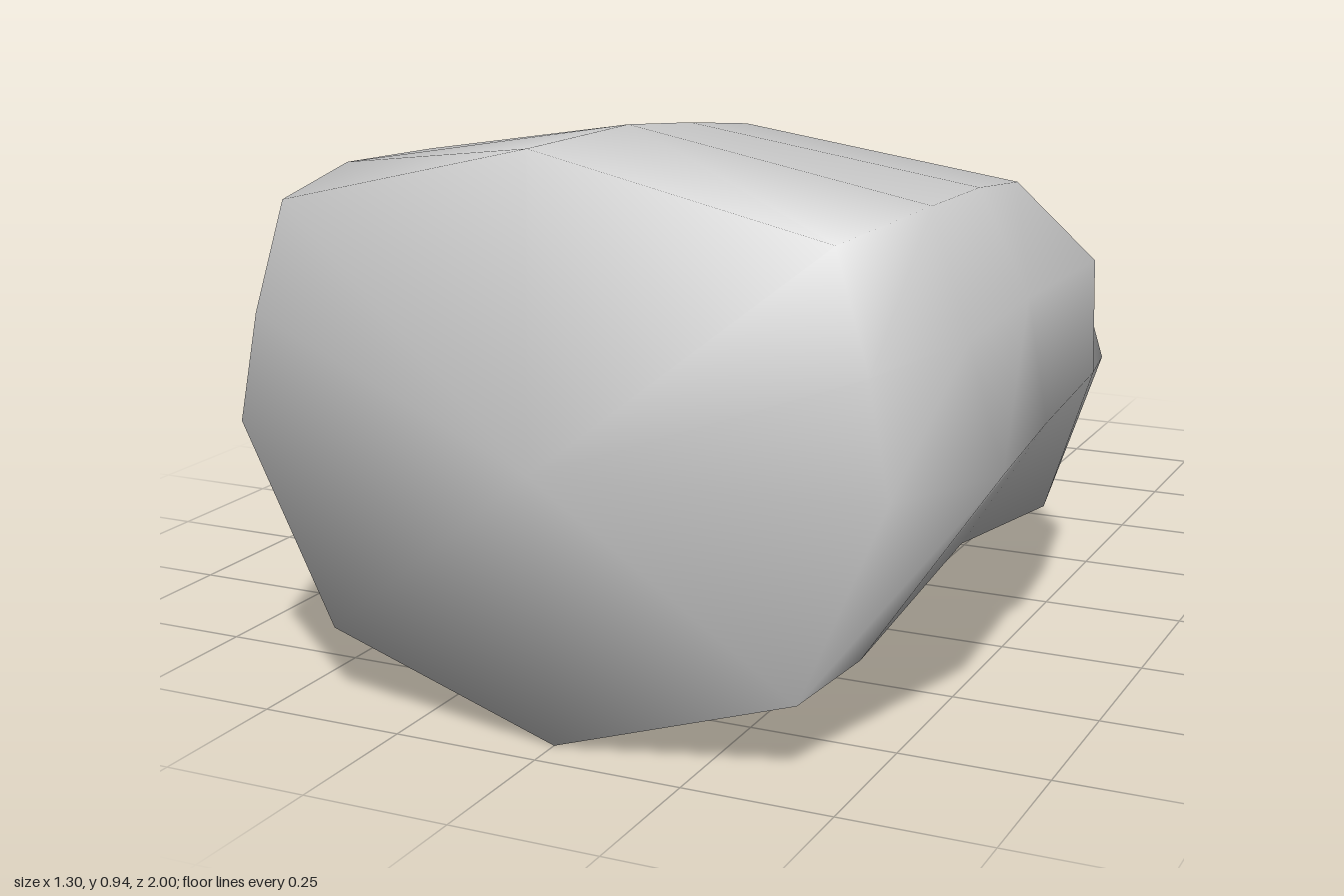
import * as THREE from 'three';

// Left half of each body cross-section, front to back:
// top, shoulder, upper flank, side, lower flank, bottom
const SECTIONS = [
  [[0, 0.95, 0.975], [0.47, 0.835, 0.93], [0.525, 0.65, 0.94], [0.56, 0.47, 0.945], [0.41, 0.135, 0.93], [0, 0.005, 0.94]],
  [[0, 0.945, 0.66], [0.52, 0.855, 0.68], [0.59, 0.66, 0.7], [0.65, 0.46, 0.71], [0.45, 0.16, 0.78], [0, 0.025, 0.65]],
  [[0, 0.92, 0.44], [0.51, 0.845, 0.44], [0.59, 0.67, 0.42], [0.64, 0.48, 0.47], [0.49, 0.25, 0.44], [0, 0.035, 0.45]],
  [[0, 0.89, 0.22], [0.5, 0.82, 0.22], [0.6, 0.67, 0.09], [0.635, 0.5, 0.2], [0.56, 0.26, 0.22], [0, 0.045, 0.26]],
  [[0, 0.77, -0.16], [0.42, 0.7, -0.12], [0.51, 0.6, -0.12], [0.56, 0.45, -0.11], [0.43, 0.21, -0.1], [0, 0.08, -0.14]],
  [[0, 0.61, -0.5], [0.25, 0.56, -0.4], [0.31, 0.49, -0.41], [0.335, 0.4, -0.42], [0.24, 0.24, -0.41], [0, 0.19, -0.48]],
];
const FRONT = [0, 0.46, 1];
const TIP = [0, 0.4, -0.575];

// Mirrors each section into a closed ring and skins the rings, with both ends closed
function bodyGeometry() {
  const rings = SECTIONS.map((half) => [
    ...half,
    ...half.slice(1, -1).reverse().map(([x, y, z]) => [-x, y, z]),
  ]);
  const n = rings[0].length;
  const front = rings.length * n;
  const tip = front + 1;
  const last = (rings.length - 1) * n;
  const index = [];
  for (let i = 0; i < n; i++) {
    const j = (i + 1) % n;
    index.push(front, j, i);
    for (let r = 0; r < last; r += n) {
      index.push(r + i, r + j, r + n + i, r + j, r + n + j, r + n + i);
    }
    index.push(tip, last + i, last + j);
  }
  const geometry = new THREE.BufferGeometry();
  const points = [...rings.flat(), FRONT, TIP].flat();
  geometry.setAttribute('position', new THREE.Float32BufferAttribute(points, 3));
  geometry.setIndex(index);
  geometry.computeVertexNormals();
  return geometry;
}

// Flat fan that widens towards the back
function tailGeometry() {
  const shape = new THREE.Shape([
    new THREE.Vector2(-0.11, 0.52),
    new THREE.Vector2(0.11, 0.52),
    new THREE.Vector2(0.235, 1),
    new THREE.Vector2(-0.235, 1),
  ]);
  return new THREE.ShapeGeometry(shape).rotateX(-Math.PI / 2).translate(0, 0.39, 0);
}

export function createModel() {
  const group = new THREE.Group();
  group.name = 'birdBody';

  const body = new THREE.Mesh(bodyGeometry(), new THREE.MeshStandardMaterial({ color: 0xcccccc }));
  body.name = 'body';

  const tail = new THREE.Mesh(
    tailGeometry(),
    new THREE.MeshStandardMaterial({ color: 0xcccccc, side: THREE.DoubleSide })
  );
  tail.name = 'tail';

  group.add(body, tail);
  return group;
}
